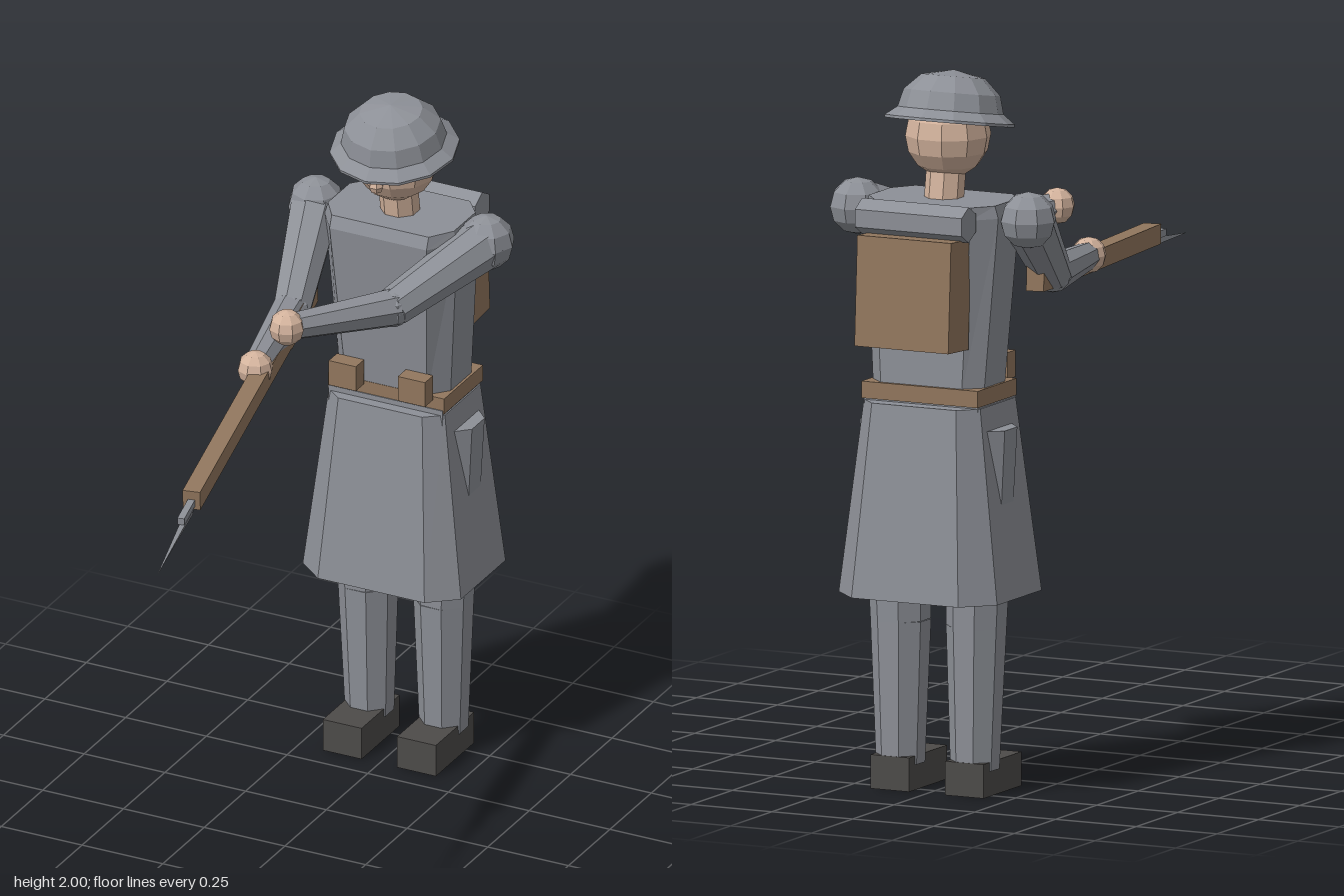
import * as THREE from 'three';

const mat = (name, color) => {
  const m = new THREE.MeshStandardMaterial({ color });
  m.name = name;
  return m;
};

export function createModel() {
  const group = new THREE.Group();
  const cloth = mat('grey cloth', 0x8d9097);
  const skin = mat('skin', 0xd3b39d);
  const leather = mat('brown leather and wood', 0x92775e);
  const boot = mat('dark boot', 0x4d4b49);
  const V = (x, y, z) => new THREE.Vector3(x, y, z);

  // Faceted mesh
  function add(name, geometry, material, x = 0, y = 0, z = 0) {
    const g = geometry.index ? geometry.toNonIndexed() : geometry;
    g.computeVertexNormals();
    const m = new THREE.Mesh(g, material);
    m.name = name;
    m.position.set(x, y, z);
    group.add(m);
    return m;
  }
  // Box given by its ranges
  function box(name, material, x0, x1, y0, y1, z0, z1) {
    return add(name, new THREE.BoxGeometry(x1 - x0, y1 - y0, z1 - z0), material,
      (x0 + x1) / 2, (y0 + y1) / 2, (z0 + z1) / 2);
  }
  // Tapered eight-sided bar from a to b
  function limb(name, material, a, b, ra, rb, sides = 8) {
    const dir = b.clone().sub(a);
    const g = new THREE.CylinderGeometry(rb, ra, dir.length(), sides);
    g.rotateY(Math.PI / sides);
    const mid = a.clone().add(b).multiplyScalar(0.5);
    const m = add(name, g, material, mid.x, mid.y, mid.z);
    m.quaternion.setFromUnitVectors(V(0, 1, 0), dir.normalize());
    return m;
  }
  // Square bar from a to b
  function bar(name, material, a, b, w, h) {
    const mid = a.clone().add(b).multiplyScalar(0.5);
    const m = add(name, new THREE.BoxGeometry(w, h, a.distanceTo(b)), material, mid.x, mid.y, mid.z);
    m.lookAt(b);
    return m;
  }
  const ball = (name, material, p, r, w = 8, h = 6) =>
    add(name, new THREE.SphereGeometry(r, w, h), material, p.x, p.y, p.z);

  // Solid with chamfered rectangular rings: y, outer x, flat x, front z, side front z, side back z, back z
  function loft(name, material, rings) {
    const pos = [], idx = [];
    for (const [y, X, x, f, sf, sb, b] of rings) {
      for (const [px, pz] of [[-x, f], [x, f], [X, sf], [X, sb], [x, b], [-x, b], [-X, sb], [-X, sf]])
        pos.push(px, y, pz);
    }
    for (let r = 0; r < rings.length - 1; r++) {
      for (let i = 0; i < 8; i++) {
        const a = r * 8 + i, c = r * 8 + (i + 1) % 8;
        idx.push(a, c, c + 8, a, c + 8, a + 8);
      }
    }
    const t = (rings.length - 1) * 8;
    for (let i = 1; i < 7; i++) idx.push(0, i + 1, i, t, t + i, t + i + 1);
    const g = new THREE.BufferGeometry();
    g.setAttribute('position', new THREE.Float32BufferAttribute(pos, 3));
    g.setIndex(idx);
    return add(name, g, material);
  }

  // Legs, boots and belt pouches
  for (const s of [-1, 1]) {
    const side = s > 0 ? 'left' : 'right';
    const hip = V(s * 0.132, 1.03, -0.73), knee = V(s * 0.117, 0.47, -0.73);
    limb(side + 'UpperLeg', cloth, knee, hip, 0.084, 0.1);
    limb(side + 'LowerLeg', cloth, V(s * 0.115, 0.07, -0.735), knee, 0.068, 0.084);
    box(side + 'Boot', boot, s * 0.115 - 0.06, s * 0.115 + 0.06, 0, 0.095, -0.8, -0.57);
    box(side + 'Pouch', leather, s * 0.107 - 0.042, s * 0.107 + 0.042, 1.14, 1.215, -0.605, -0.555);
  }

  // Coat and belt
  loft('coatSkirt', cloth, [
    [0.555, 0.245, 0.165, -0.52, -0.585, -0.855, -0.935],
    [1.095, 0.18, 0.13, -0.575, -0.615, -0.83, -0.88],
  ]);
  box('hips', cloth, -0.176, 0.176, 0.97, 1.11, -0.836, -0.607);
  box('belt', leather, -0.18, 0.18, 1.1, 1.147, -0.845, -0.61);
  loft('torso', cloth, [
    [1.14, 0.172, 0.125, -0.612, -0.665, -0.79, -0.835],
    [1.62, 0.205, 0.15, -0.562, -0.64, -0.77, -0.83],
    [1.655, 0.195, 0.15, -0.575, -0.64, -0.77, -0.825],
  ]);

  // Pack and rolled blanket
  const pack = box('backpack', leather, -0.145, 0.145, 1.262, 1.57, -0.947, -0.825);
  pack.rotation.x = 0.055;
  limb('blanketRoll', cloth, V(-0.165, 1.615, -0.87), V(0.165, 1.615, -0.87), 0.05, 0.05, 6);

  // Head
  limb('neck', skin, V(0, 1.63, -0.7), V(0, 1.76, -0.68), 0.055, 0.055);
  ball('head', skin, V(0, 1.825, -0.672), 0.12, 10, 8);
  ball('nose', skin, V(0, 1.79, -0.55), 0.022, 6, 4);

  // Helmet: dome and sloping brim, tipped forward
  const profile = [[0.125, 0.012], [0.18, -0.008], [0.18, 0], [0.147, 0.025], [0.134, 0.075],
    [0.088, 0.12], [0, 0.138]].map(([r, y]) => new THREE.Vector2(r, y));
  const helmet = add('helmet', new THREE.LatheGeometry(profile, 12), cloth, 0, 1.865, -0.662);
  helmet.rotation.x = 0.18;

  // Arms
  function arm(side, shoulder, elbow, wrist) {
    ball(side + 'Shoulder', cloth, shoulder, 0.08);
    limb(side + 'UpperArm', cloth, shoulder, elbow, 0.074, 0.055);
    ball(side + 'Elbow', cloth, elbow, 0.055);
    limb(side + 'Forearm', cloth, elbow, wrist, 0.055, 0.038);
    ball(side + 'Hand', skin, wrist, 0.051);
  }
  arm('right', V(-0.263, 1.61, -0.7), V(-0.2, 1.415, -0.43), V(-0.135, 1.405, -0.085));
  arm('left', V(0.263, 1.61, -0.705), V(0.128, 1.512, -0.4), V(-0.05, 1.54, -0.11));

  // Rifle: axis points at a given z
  const at = (z, dy = 0) => V(-0.1 + 0.2 * z, 1.378 - 0.058 * z + dy, z);
  bar('rifleStock', leather, at(-0.4), at(0.605), 0.05, 0.056);
  bar('rifleButt', leather, at(-0.56, 0.012), at(-0.3, 0.005), 0.05, 0.075);
  bar('barrel', cloth, at(0.59, -0.008), at(0.71, -0.008), 0.02, 0.02);
  limb('bayonet', cloth, at(0.62, -0.024), V(0.092, 1.285, 0.945), 0.014, 0.001, 4);

  return group;
}
